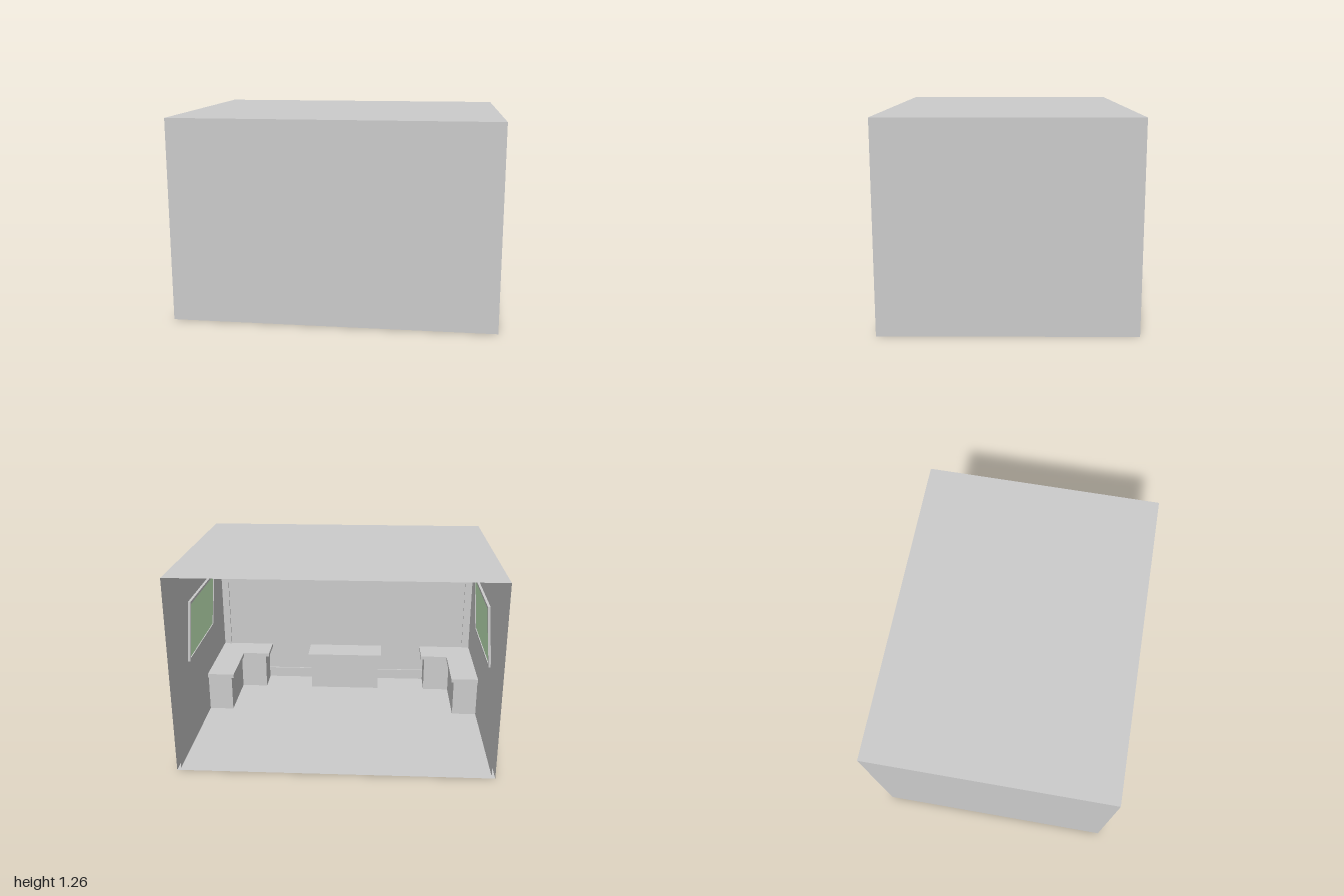
import * as THREE from 'three';

const grey = new THREE.MeshStandardMaterial({ color: 0xcccccc, flatShading: true });
const greyDouble = new THREE.MeshStandardMaterial({ color: 0xcccccc, flatShading: true, side: THREE.DoubleSide });
const green = new THREE.MeshStandardMaterial({ color: 0xd4fdca, flatShading: true });

function part(name, geometry, material = grey) {
  const mesh = new THREE.Mesh(geometry, material);
  mesh.name = name;
  return mesh;
}

// Shape from a list of [x, y] corners
const outline = (pts) => new THREE.Shape(pts.map(([x, y]) => new THREE.Vector2(x, y)));

// Slab lying flat: plan corners are [x, z], filled from y0 to y1
function slab(name, plan, y0, y1) {
  const geo = new THREE.ExtrudeGeometry(outline(plan.map(([x, z]) => [x, -z])), { depth: y1 - y0, bevelEnabled: false });
  geo.rotateX(-Math.PI / 2).translate(0, y0, 0);
  return part(name, geo);
}

// Rectangular frame standing on y = 0, facing +z
function frame(name, w, h, bar, depth) {
  const x = w / 2, i = x - bar;
  const shape = outline([[-x, 0], [x, 0], [x, h], [-x, h]]);
  shape.holes.push(outline([[-i, bar], [-i, h - bar], [i, h - bar], [i, bar]]));
  return part(name, new THREE.ExtrudeGeometry(shape, { depth, bevelEnabled: false }));
}

// Inward-facing band on three sides between two rectangular rings [halfX, y, halfZ]
function band(name, a, b) {
  const signs = [[1, -1], [1, 1], [-1, 1], [-1, -1]];
  const at = (r, [sx, sz]) => [sx * r[0], r[1], sz * r[2]];
  const pos = [];
  for (let k = 0; k < 3; k++) {
    const p = at(a, signs[k]), q = at(a, signs[k + 1]);
    const p2 = at(b, signs[k]), q2 = at(b, signs[k + 1]);
    pos.push(...p, ...q, ...q2, ...p, ...q2, ...p2);
  }
  const geo = new THREE.BufferGeometry();
  geo.setAttribute('position', new THREE.Float32BufferAttribute(pos, 3));
  geo.computeVertexNormals();
  return part(name, geo);
}

// Desk made of a base and a slightly overhanging top
function desk(name, basePlan, topPlan) {
  const group = new THREE.Group();
  group.name = name;
  group.add(slab('deskBase', basePlan, 0.004, 0.262));
  group.add(slab('deskTop', topPlan, 0.262, 0.288));
  return group;
}

// Corner desk plan: x, z of the inner edges
const cornerPlan = (s, xLeg, xEnd, zEnd, zInner) => {
  const pts = [[0.98, zEnd], [0.98, 0.74], [xEnd, 0.74], [xEnd, zInner], [xLeg, zInner], [xLeg, zEnd]];
  return pts.map(([x, z]) => [s * x, z]);
};

export function createModel() {
  const room = new THREE.Group();
  room.name = 'room';

  // Outer shell, open at the back
  const shell = new THREE.BoxGeometry(2, 1.262, 1.525);
  shell.setIndex(Array.from(shell.index.array).slice(0, 30));
  shell.clearGroups();
  shell.translate(0, 0.631, 0);
  room.add(part('outerShell', shell, greyDouble));

  // Inner lining: floor, walls, sloped cove and ceiling
  const floorRing = [0.98, 0.004, 0.742], wallTop = [0.98, 1.1, 0.742], coveTop = [0.842, 1.237, 0.63];
  room.add(part('floor', new THREE.PlaneGeometry(1.96, 1.484).rotateX(-Math.PI / 2).translate(0, 0.004, 0)));
  room.add(band('innerWalls', floorRing, wallTop));
  room.add(band('ceilingCove', wallTop, coveTop));
  room.add(part('ceiling', new THREE.PlaneGeometry(1.684, 1.26).rotateX(Math.PI / 2).translate(0, 1.237, 0)));

  // Four L-shaped ceiling strips
  for (const sx of [1, -1]) for (const sz of [1, -1]) {
    const plan = [[0.14, 0.375], [0.64, 0.375], [0.64, 0.14], [0.585, 0.14], [0.585, 0.318], [0.14, 0.318]];
    room.add(slab('ceilingStrip', plan.map(([x, z]) => [sx * x, sz * z]), 1.226, 1.237));
  }

  // Green boards on both side walls, leaning in at the top
  for (const s of [1, -1]) {
    const board = new THREE.Group();
    board.name = s > 0 ? 'leftBoard' : 'rightBoard';
    board.add(frame('boardFrame', 0.717, 0.41, 0.018, 0.016));
    board.add(part('boardPanel', new THREE.BoxGeometry(0.69, 0.38, 0.008).translate(0, 0.205, 0.006), green));
    board.rotation.set(0.075, -s * Math.PI / 2, 0, 'YXZ');
    board.position.set(s * 0.982, 0.59, -0.03);
    room.add(board);
  }

  // Framed panel on the front wall
  const wallFrame = frame('frontWallFrame', 1.9, 0.99, 0.025, 0.012);
  wallFrame.rotation.y = Math.PI;
  wallFrame.position.set(0, 0.06, 0.742);
  room.add(wallFrame);

  // Corner desks on both sides and a straight desk between them
  for (const s of [1, -1]) {
    room.add(desk(s > 0 ? 'leftCornerDesk' : 'rightCornerDesk',
      cornerPlan(s, 0.81, 0.62, 0.12, 0.546), cornerPlan(s, 0.79, 0.592, 0.1, 0.525)));
  }
  const straight = (x, z) => [[-x, z], [x, z], [x, 0.74], [-x, 0.74]];
  room.add(desk('middleDesk', straight(0.26, 0.546), straight(0.282, 0.525)));

  return room;
}
